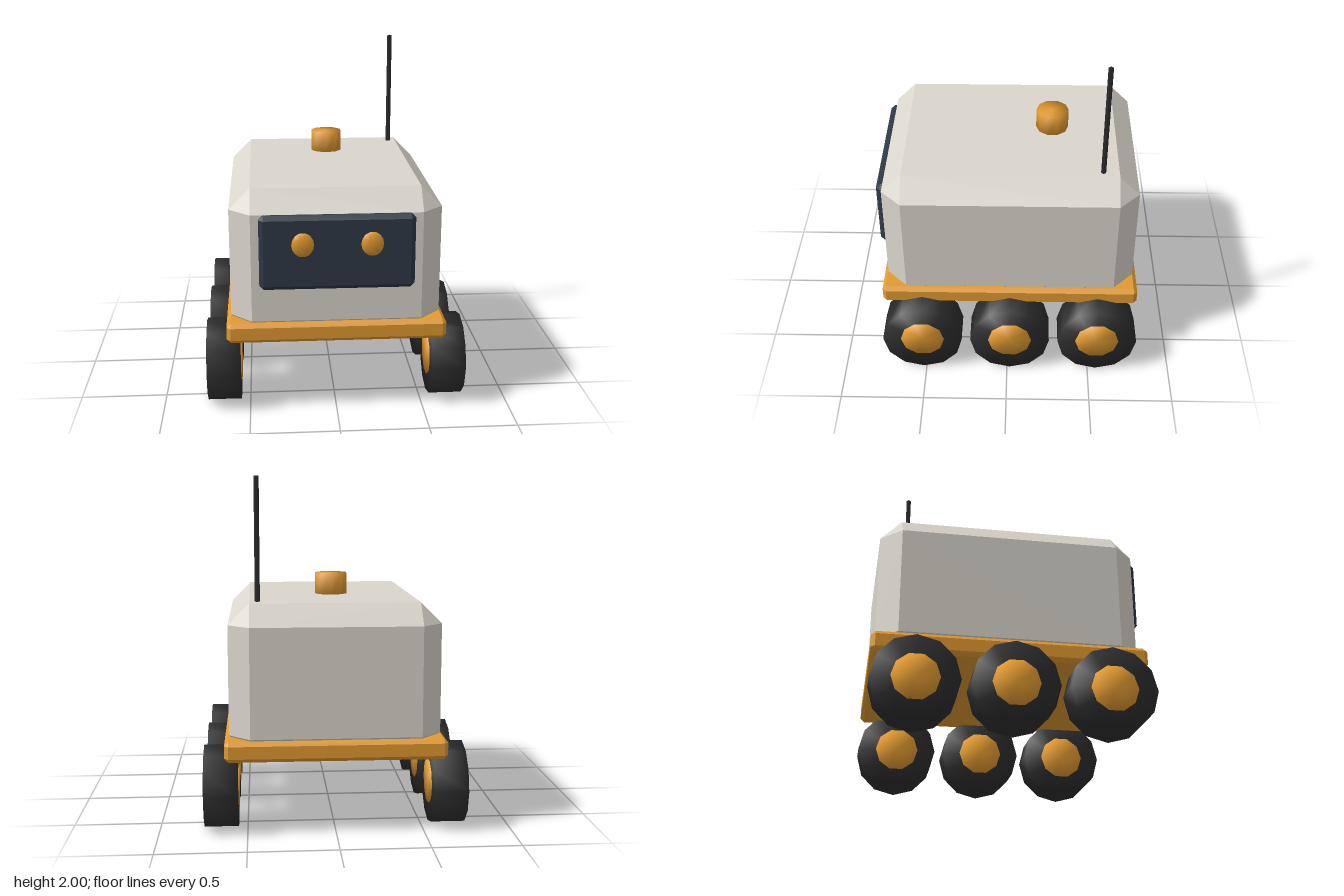
import * as THREE from 'three';
import { mergeVertices } from 'three/addons/utils/BufferGeometryUtils.js';
import { ConvexGeometry } from 'three/addons/geometries/ConvexGeometry.js';

const paint = (color, flatShading = false) => {
  const m = new THREE.MeshStandardMaterial({ color });
  m.flatShading = flatShading;
  return m;
};

// Box with every edge cut at 45 degrees by c
function chamferBox(w, h, d, c) {
  const points = [];
  for (const sx of [-1, 1]) for (const sy of [-1, 1]) for (const sz of [-1, 1]) {
    const x = w / 2, y = h / 2, z = d / 2;
    points.push(
      new THREE.Vector3(sx * x, sy * (y - c), sz * (z - c)),
      new THREE.Vector3(sx * (x - c), sy * y, sz * (z - c)),
      new THREE.Vector3(sx * (x - c), sy * (y - c), sz * z));
  }
  return new ConvexGeometry(points);
}

// Low-poly drum whose shading runs softly over the rims
function softDrum(radius, height, sides) {
  const g = new THREE.CylinderGeometry(radius, radius, height, sides);
  g.deleteAttribute('uv');
  g.deleteAttribute('normal');
  const merged = mergeVertices(g);
  merged.computeVertexNormals();
  return merged;
}

export function createModel() {
  const model = new THREE.Group();
  model.name = 'deliveryRover';

  const shell = paint(0xdad6cd, true);
  const orange = paint(0xe29a30);
  const orangeFlat = paint(0xe29a30, true);
  const navy = paint(0x2e3846, true);
  const black = paint(0x2c2c2e);

  const add = (name, geometry, material, x, y, z, parent = model) => {
    const mesh = new THREE.Mesh(geometry, material);
    mesh.name = name;
    mesh.position.set(x, y, z);
    parent.add(mesh);
    return mesh;
  };

  // Body on its base plate
  add('body', chamferBox(1.2, 0.865, 1.49, 0.12), shell, 0, 0.868, -0.015);
  add('basePlate', chamferBox(1.25, 0.117, 1.54, 0.023), orangeFlat, 0, 0.488, -0.015);

  // Face panel with two domed eyes
  add('facePanel', chamferBox(0.87, 0.43, 0.07, 0.025), navy, 0, 0.965, 0.733);
  const eye = new THREE.SphereGeometry(0.073, 10, 8);
  for (const side of [-1, 1]) {
    add(side > 0 ? 'leftEye' : 'rightEye', eye, orange, side * 0.193, 1.016, 0.76)
      .scale.set(0.95, 1, 0.39);
  }

  // Roof beacon and antenna
  add('beacon', softDrum(0.096, 0.122, 10), orange, 0, 1.377, -0.26);
  add('antenna', new THREE.CylinderGeometry(0.0145, 0.0145, 0.72, 4), black, 0.433, 1.64, -0.547);

  // Three wheels on each side, each a tyre with a hub running through it
  const tyre = softDrum(0.24, 0.193, 12).rotateZ(Math.PI / 2);
  const hub = softDrum(0.131, 0.204, 10).rotateZ(Math.PI / 2);
  for (const side of [-1, 1]) {
    ['front', 'middle', 'back'].forEach((row, i) => {
      const wheel = new THREE.Group();
      wheel.name = row + (side > 0 ? 'Left' : 'Right') + 'Wheel';
      wheel.position.set(side * 0.648, 0.241, 0.516 - i * 0.532);
      add('tyre', tyre, black, 0, 0, 0, wheel);
      add('hub', hub, orange, 0, 0.003, 0, wheel);
      model.add(wheel);
    });
  }

  return model;
}
